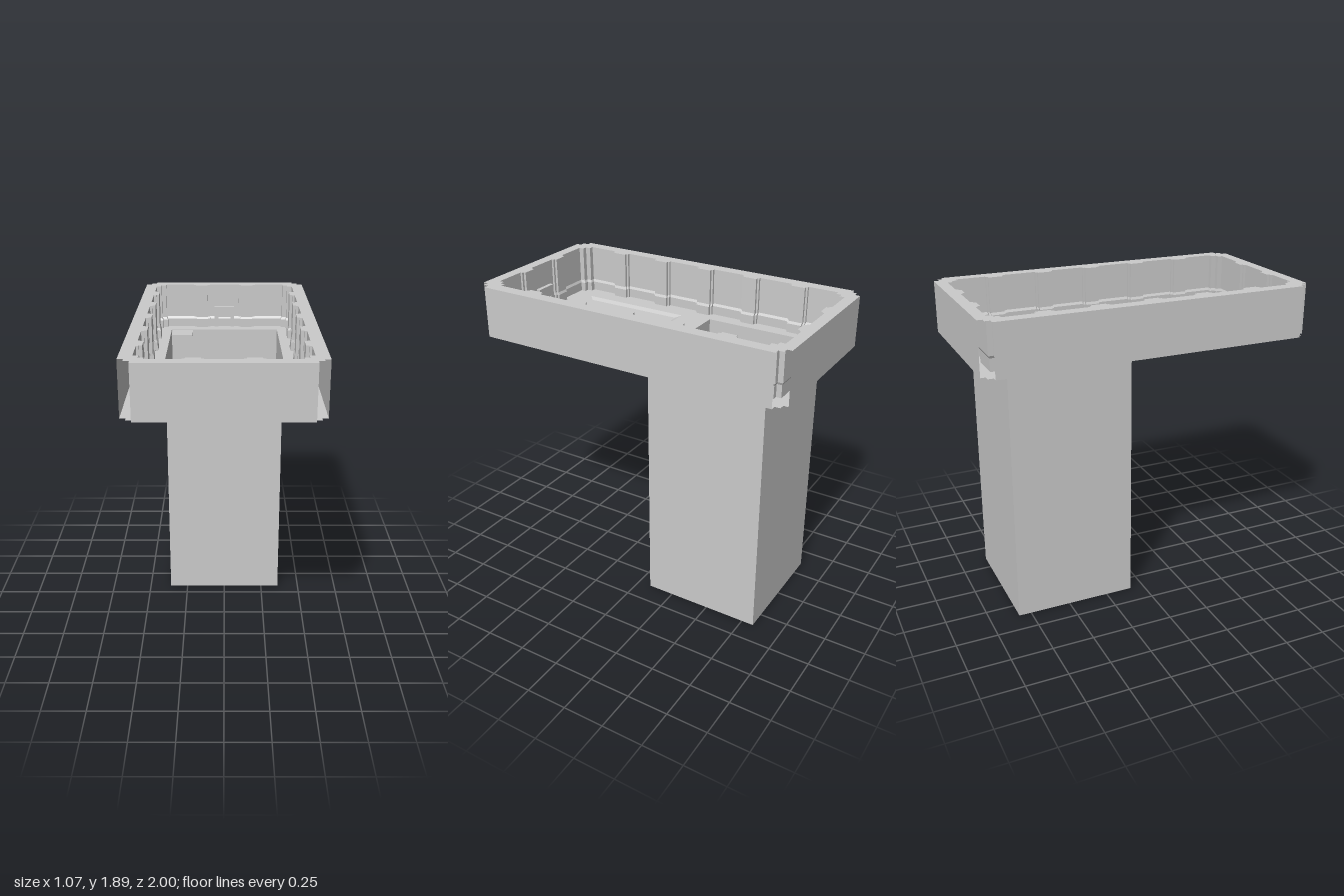
import * as THREE from 'three';

const TOP = 1.89, FLOOR = 1.6, BASE = 1.58;
const material = new THREE.MeshStandardMaterial({ color: 0xcccccc, flatShading: true, side: THREE.DoubleSide });

function add(parent, name, geometry, x = 0, y = 0, z = 0) {
  const mesh = new THREE.Mesh(geometry, material);
  mesh.name = name;
  mesh.position.set(x, y, z);
  parent.add(mesh);
  return mesh;
}

const rect = (x0, x1, z0, z1) => [[x0, z0], [x1, z0], [x1, z1], [x0, z1]];
const scaled = (pts, d) => pts.map(([x, z]) => [x * (1 - d / 0.46), z * (1 - d / 0.93)]);

// Horizontal face from an outline in x and z, with optional holes
function flat(outline, holes = [], up = true) {
  const s = up ? -1 : 1;
  const toPoints = pts => pts.map(([x, z]) => new THREE.Vector2(x, s * z));
  const shape = new THREE.Shape(toPoints(outline));
  holes.forEach(h => shape.holes.push(new THREE.Path(toPoints(h))));
  return new THREE.ShapeGeometry(shape).rotateX(s * Math.PI / 2);
}

// Surface joining a stack of closed rings, each { pts, y }; faces inward or outward
function loft(rings, inward = true) {
  const positions = [];
  for (let r = 0; r + 1 < rings.length; r++) {
    const a = rings[r], b = rings[r + 1], n = a.pts.length;
    for (let i = 0; i < n; i++) {
      const j = (i + 1) % n;
      const p = [a.pts[i][0], a.y, a.pts[i][1]], q = [a.pts[j][0], a.y, a.pts[j][1]];
      const u = [b.pts[i][0], b.y, b.pts[i][1]], v = [b.pts[j][0], b.y, b.pts[j][1]];
      positions.push(...(inward ? [p, q, v, p, v, u] : [p, v, q, p, u, v]).flat());
    }
  }
  const g = new THREE.BufferGeometry();
  g.setAttribute('position', new THREE.Float32BufferAttribute(positions, 3));
  g.computeVertexNormals();
  return g;
}

// Closed outline from the points of its +x half, ordered back to front
const mirrored = half => [...half, ...half.map(([x, z]) => [-x, z]).reverse()];

// Inner wall outline: ribs along the sides and ends, stepped corners
function innerOutline() {
  const end = [
    [0.1, -0.933], [0.1, -0.92], [0.115, -0.92], [0.115, -0.905],
    [0.195, -0.905], [0.195, -0.92], [0.21, -0.92], [0.21, -0.933],
    [0.4, -0.933], [0.4, -0.902], [0.43, -0.902], [0.43, -0.87], [0.46, -0.87],
  ];
  const side = [];
  for (const c of [-0.632, -0.316, 0, 0.316, 0.632]) {
    side.push([0.46, c - 0.056], [0.445, c - 0.056], [0.445, c - 0.044], [0.428, c - 0.044],
      [0.428, c + 0.044], [0.445, c + 0.044], [0.445, c + 0.056], [0.46, c + 0.056]);
  }
  return mirrored([...end, ...side, ...end.map(([x, z]) => [x, -z]).reverse()]);
}

export function createModel() {
  const model = new THREE.Group();
  model.name = 'roomWithShaft';

  const inner = innerOutline();
  const corner = [[0.467, -1], [0.467, -0.97], [0.5, -0.97], [0.5, -0.937], [0.533, -0.937]];
  const outer = mirrored([...corner, ...corner.map(([x, z]) => [x, -z]).reverse()]);
  const pit = rect(-0.363, 0.363, -0.825, -0.085);
  const plinth = scaled(inner, 0.008);

  // Walls: rim, ribbed lining with a low plinth, and four separate outer faces
  const walls = new THREE.Group();
  walls.name = 'walls';
  model.add(walls);
  add(walls, 'wallRim', flat(outer, [inner]), 0, TOP);
  add(walls, 'wallUnderside', flat(outer, [plinth], false), 0, BASE);
  add(walls, 'wallLining', loft([
    { pts: plinth, y: BASE }, { pts: plinth, y: 1.655 },
    { pts: inner, y: 1.67 }, { pts: inner, y: TOP },
  ]));
  const height = TOP - BASE, mid = (TOP + BASE) / 2;
  for (const s of [1, -1]) {
    const turn = s > 0 ? 0 : Math.PI;
    add(walls, 'endWall', new THREE.PlaneGeometry(0.934, height).rotateY(turn), 0, mid, s);
    add(walls, 'sideWall', new THREE.PlaneGeometry(1.874, height).rotateY(turn + Math.PI / 2), s * 0.533, mid, 0);
  }

  // Floor with the shaft opening and a shallow sunken panel
  const panelOuter = rect(-0.33, 0.33, 0.1, 0.8);
  const panelInner = rect(-0.3, 0.3, 0.13, 0.77);
  add(model, 'floor', flat(plinth, [pit, panelOuter]), 0, FLOOR);
  add(model, 'panelBevel', loft([{ pts: panelInner, y: BASE + 0.008 }, { pts: panelOuter, y: FLOOR }]));
  add(model, 'floorPanel', flat(panelInner), 0, BASE + 0.008);

  // Deep hollow shaft, open at the top
  add(model, 'shaftWalls', loft([{ pts: pit, y: 0 }, { pts: pit, y: FLOOR }], false));
  add(model, 'shaftBottom', flat(pit, [], false));
  add(model, 'shaftPlatform', new THREE.BoxGeometry(0.14, 0.02, 0.14), -0.286, FLOOR - 0.012, -0.75);

  // Loose crates: x, z, size
  const crates = [
    [0.07, 0.383, 0.048], [0.137, 0.383, 0.063], [0.214, 0.383, 0.06],
    [0.13, 0.443, 0.048], [0.198, 0.447, 0.048], [0.16, 0.505, 0.048],
  ];
  for (const [x, z, s] of crates) {
    add(model, 'crate', new THREE.BoxGeometry(s, s, s), x, BASE + 0.008 + s / 2, z);
  }

  // Wall consoles on both ends: a panel on two legs
  for (const s of [1, -1]) {
    const wallConsole = new THREE.Group();
    wallConsole.name = 'wallConsole';
    model.add(wallConsole);
    add(wallConsole, 'consolePanel', new THREE.BoxGeometry(0.135, 0.07, 0.026), 0, 1.705, s * 0.92);
    for (const x of [-0.055, 0.055]) {
      add(wallConsole, 'consoleLeg', new THREE.BoxGeometry(0.025, 0.07, 0.026), x, 1.635, s * 0.92);
    }
  }
  return model;
}
